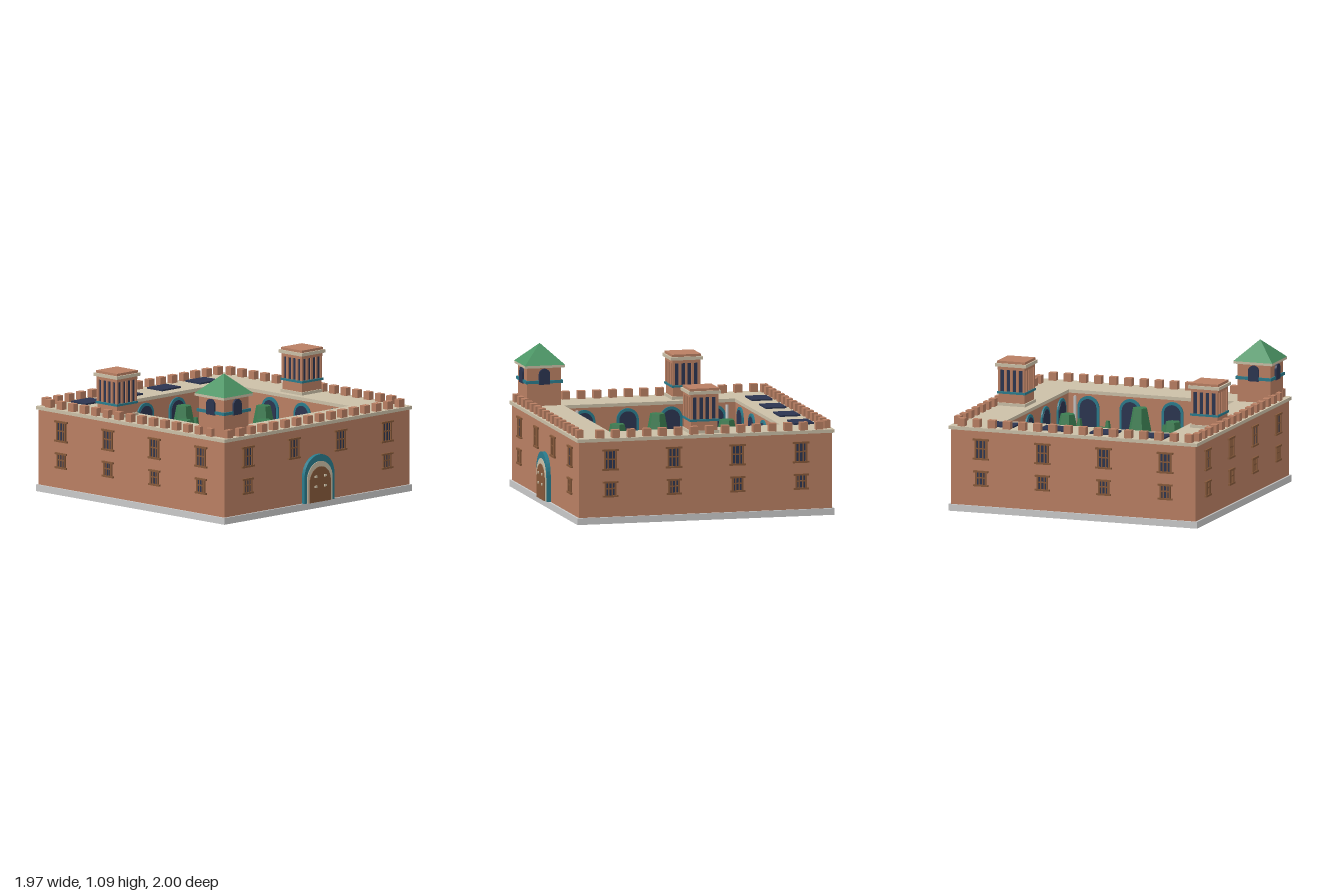
import * as THREE from 'three';

const mat = (name, color) => {
  const m = new THREE.MeshStandardMaterial({ color });
  m.name = name;
  return m;
};

export function createModel() {
  const M = {
    brick: mat('brick', 0xb97f63), stone: mat('sandstone', 0xcbbfa7), grey: mat('grey stone', 0xcacaca),
    navy: mat('dark glass', 0x2b3450), teal: mat('teal trim', 0x2a7b8c), wood: mat('wood', 0x86593a),
    lawn: mat('lawn green', 0x4f9562), roof: mat('roof green', 0x4c9565), leaf: mat('leaf green', 0x3b7d51),
  };
  const root = new THREE.Group();
  root.name = 'courtyardPalace';
  const palace = new THREE.Group();
  palace.name = 'palace';
  palace.position.z = -0.015;
  root.add(palace);

  const group = (name, parent, x = 0, y = 0, z = 0, turn = 0) => {
    const g = new THREE.Group();
    g.name = name;
    g.position.set(x, y, z);
    g.rotation.y = turn;
    parent.add(g);
    return g;
  };
  const add = (name, geo, m, parent, x = 0, y = 0, z = 0) => {
    const mesh = new THREE.Mesh(geo, m);
    mesh.name = name;
    mesh.position.set(x, y, z);
    parent.add(mesh);
    return mesh;
  };
  // box given by its bottom height y
  const box = (name, m, parent, w, h, d, x, y, z) =>
    add(name, new THREE.BoxGeometry(w, h, d), m, parent, x, y + h / 2, z);
  // faceted cylinder or cone standing on y
  const drum = (name, m, parent, rTop, rBottom, h, sides, x, y, z) => {
    const geo = new THREE.CylinderGeometry(rTop, rBottom, h, sides).toNonIndexed();
    geo.computeVertexNormals();
    return add(name, geo, m, parent, x, y + h / 2, z);
  };
  // square ring lying flat
  const ring = (name, m, outer, inner, y, h) => {
    const square = (r, T) => new T([[-r, -r], [r, -r], [r, r], [-r, r]].map(p => new THREE.Vector2(...p)));
    const s = square(outer, THREE.Shape);
    s.holes.push(square(inner, THREE.Path));
    const geo = new THREE.ExtrudeGeometry(s, { depth: h, bevelEnabled: false });
    geo.rotateX(-Math.PI / 2);
    return add(name, geo, m, palace, 0, y, 0);
  };
  // round-headed plate facing +z
  const arch = (name, m, parent, half, y0, y1, depth, x, z) => {
    const s = new THREE.Shape();
    s.moveTo(-half, y0);
    s.lineTo(half, y0);
    s.absarc(0, y1 - half, half, 0, Math.PI, false);
    s.closePath();
    return add(name, new THREE.ExtrudeGeometry(s, { depth, bevelEnabled: false, curveSegments: 8 }), m, parent, x, 0, z);
  };

  // Main body
  box('base', M.grey, palace, 1.97, 0.05, 1.97, 0, 0, 0);
  ring('walls', M.brick, 0.97, 0.66, 0.05, 0.565);
  ring('roofSlab', M.stone, 0.985, 0.655, 0.615, 0.025);
  box('lawn', M.lawn, palace, 1.32, 0.012, 1.32, 0, 0.05, 0);
  ring('gallery', M.grey, 0.66, 0.588, 0.27, 0.04);
  for (const x of [-0.575, 0.575]) for (const z of [-0.575, 0.575])
    drum('cornerPost', M.grey, palace, 0.011, 0.011, 0.55, 6, x, 0.06, z);

  // Outer windows
  const barredWindow = (parent, x, y, w, h) => {
    const g = group('window', parent, x, y, 0.97);
    box('glass', M.navy, g, w, h, 0.006, 0, 0, 0.001);
    for (const s of [-1, 1]) {
      box('jamb', M.wood, g, 0.013, h, 0.014, s * (w / 2 - 0.006), 0, 0.005);
      box('bar', M.wood, g, 0.01, h, 0.01, s * w * 0.16, 0, 0.004);
    }
    box('middleRail', M.wood, g, w, 0.01, 0.01, 0, h / 2, 0.004);
    box('lintel', M.wood, g, w + 0.03, 0.014, 0.018, 0, h - 0.012, 0.006);
    box('sill', M.wood, g, w + 0.03, 0.014, 0.018, 0, -0.002, 0.006);
  };
  for (let k = 0; k < 4; k++) {
    const side = group('facade', palace, 0, 0, 0, k * Math.PI / 2);
    for (const x of [-0.73, -0.243, 0.243, 0.73]) {
      barredWindow(side, x, 0.4, 0.097, 0.155);
      if (k > 0 || Math.abs(x) > 0.5) barredWindow(side, x, 0.2, 0.085, 0.115);
    }
    // Courtyard arcades
    for (const x of [-0.5, -0.167, 0.167, 0.5]) {
      arch('upperArchTrim', M.teal, side, 0.085, 0.31, 0.6, 0.012, x, -0.66);
      arch('upperArchOpening', M.navy, side, 0.065, 0.31, 0.578, 0.016, x, -0.66);
      arch('lowerArchTrim', M.teal, side, 0.095, 0.06, 0.27, 0.012, x, -0.66);
      arch('lowerArchOpening', M.navy, side, 0.078, 0.06, 0.255, 0.016, x, -0.66);
    }
  }

  // Battlements
  for (let i = 0; i < 16; i++) for (const s of [-1, 1]) {
    box('merlon', M.brick, palace, 0.058, 0.06, 0.048, -0.91 + 0.12 * i, 0.64, s * 0.947);
    if (i < 15) box('merlon', M.brick, palace, 0.048, 0.06, 0.058, s * 0.947, 0.64, -0.875 + 0.12 * i);
  }

  // Gate
  const gate = group('gate', palace);
  arch('gateTrim', M.teal, gate, 0.157, 0.05, 0.405, 0.03, 0, 0.968);
  arch('gateSurround', M.stone, gate, 0.132, 0.05, 0.355, 0.035, 0, 0.968);
  arch('gateDoor', M.wood, gate, 0.11, 0.05, 0.315, 0.039, 0, 0.968);
  for (const x of [-0.05, 0.05]) for (const y of [0.16, 0.235])
    box('doorStud', M.stone, gate, 0.02, 0.016, 0.009, x, y, 1.0105);

  // Roof panels
  for (const x of [-0.6, -0.2, 0.2, 0.6]) box('roofPanel', M.navy, palace, 0.197, 0.012, 0.158, x, 0.64, -0.825);

  // Corner tower
  const tower = group('tower', palace, -0.805, 0, 0.8);
  box('towerBody', M.brick, tower, 0.26, 0.29, 0.26, 0, 0.64, 0);
  box('towerBand', M.teal, tower, 0.284, 0.022, 0.284, 0, 0.808, 0);
  box('towerCornice', M.stone, tower, 0.306, 0.02, 0.306, 0, 0.926, 0);
  for (let k = 0; k < 4; k++)
    arch('towerWindow', M.navy, group('towerSide', tower, 0, 0, 0, k * Math.PI / 2), 0.042, 0.8, 0.918, 0.016, 0, 0.13);
  drum('towerRoof', M.roof, tower, 0, 0.309 / Math.SQRT2, 0.147, 4, 0, 0.945, 0).rotation.y = Math.PI / 4;

  // Roof lanterns
  for (const [x, z] of [[-0.823, -0.3], [0.82, -0.003]]) {
    const g = group('lantern', palace, x, 0, z);
    box('lanternFoot', M.stone, g, 0.225, 0.022, 0.225, 0, 0.64, 0);
    box('lanternPlinth', M.brick, g, 0.205, 0.07, 0.205, 0, 0.662, 0);
    box('lanternBand', M.teal, g, 0.224, 0.016, 0.224, 0, 0.73, 0);
    box('lanternGlass', M.navy, g, 0.192, 0.19, 0.192, 0, 0.745, 0);
    box('lanternHead', M.brick, g, 0.214, 0.026, 0.214, 0, 0.91, 0);
    for (let k = 0; k < 4; k++) {
      const side = group('lanternSide', g, 0, 0, 0, k * Math.PI / 2);
      for (let i = 0; i < 5; i++) box('column', M.brick, side, 0.019, 0.17, 0.019, -0.097 + i * 0.0388 * 1.25, 0.745, 0.097);
    }
    box('lanternCornice', M.stone, g, 0.245, 0.024, 0.245, 0, 0.935, 0);
    box('lanternCap', M.brick, g, 0.22, 0.018, 0.22, 0, 0.959, 0);
  }

  // Courtyard trees
  for (const [x, z] of [[0, -0.42], [0, 0.417], [-0.42, 0], [0.415, 0]]) {
    const g = group('tree', palace, x, 0, z);
    drum('trunk', M.wood, g, 0.025, 0.03, 0.2, 6, 0, 0.06, 0);
    drum('crown', M.leaf, g, 0.055, 0.128, 0.36, 6, 0, 0.23, 0).rotation.y = Math.PI / 6;
  }
  // Gallery bushes
  const bush = (x, z) => drum('bush', M.leaf, palace, 0.015, 0.034, 0.12, 6, x, 0.31, z).rotation.y = Math.PI / 6;
  for (const s of [-1, 1]) {
    for (let i = 0; i < 6; i++) bush(-0.56 + i * 0.224, s * 0.629);
    for (let i = 0; i < 5; i++) bush(s * 0.627, -0.47 + i * 0.234);
  }

  // Palm
  const palm = group('palm', palace, 0.55, 0, -0.555);
  drum('palmTrunk', M.wood, palm, 0.014, 0.022, 0.42, 6, 0, 0.06, 0);
  for (let i = 0; i < 6; i++) {
    const frond = group('frond', palm, 0, 0.485, 0, i * Math.PI / 3);
    box('frondBlade', M.leaf, frond, 0.175, 0.01, 0.03, 0.0875, -0.03, 0).rotation.z = -0.2;
  }

  // Fountain
  const fountain = group('fountain', palace);
  fountain.rotation.y = Math.PI / 8;
  const rim = [[0.097, 0.06], [0.097, 0.12], [0.08, 0.12], [0.08, 0.09]].map(p => new THREE.Vector2(...p));
  const rimGeo = new THREE.LatheGeometry(rim, 8).toNonIndexed();
  rimGeo.computeVertexNormals();
  add('fountainRim', rimGeo, M.grey, fountain);
  drum('fountainWater', M.teal, fountain, 0.082, 0.082, 0.04, 8, 0, 0.06, 0);
  drum('fountainColumn', M.grey, fountain, 0.014, 0.02, 0.18, 8, 0, 0.08, 0);
  drum('fountainBowl', M.grey, fountain, 0.052, 0.025, 0.03, 8, 0, 0.19, 0);

  return root;
}
